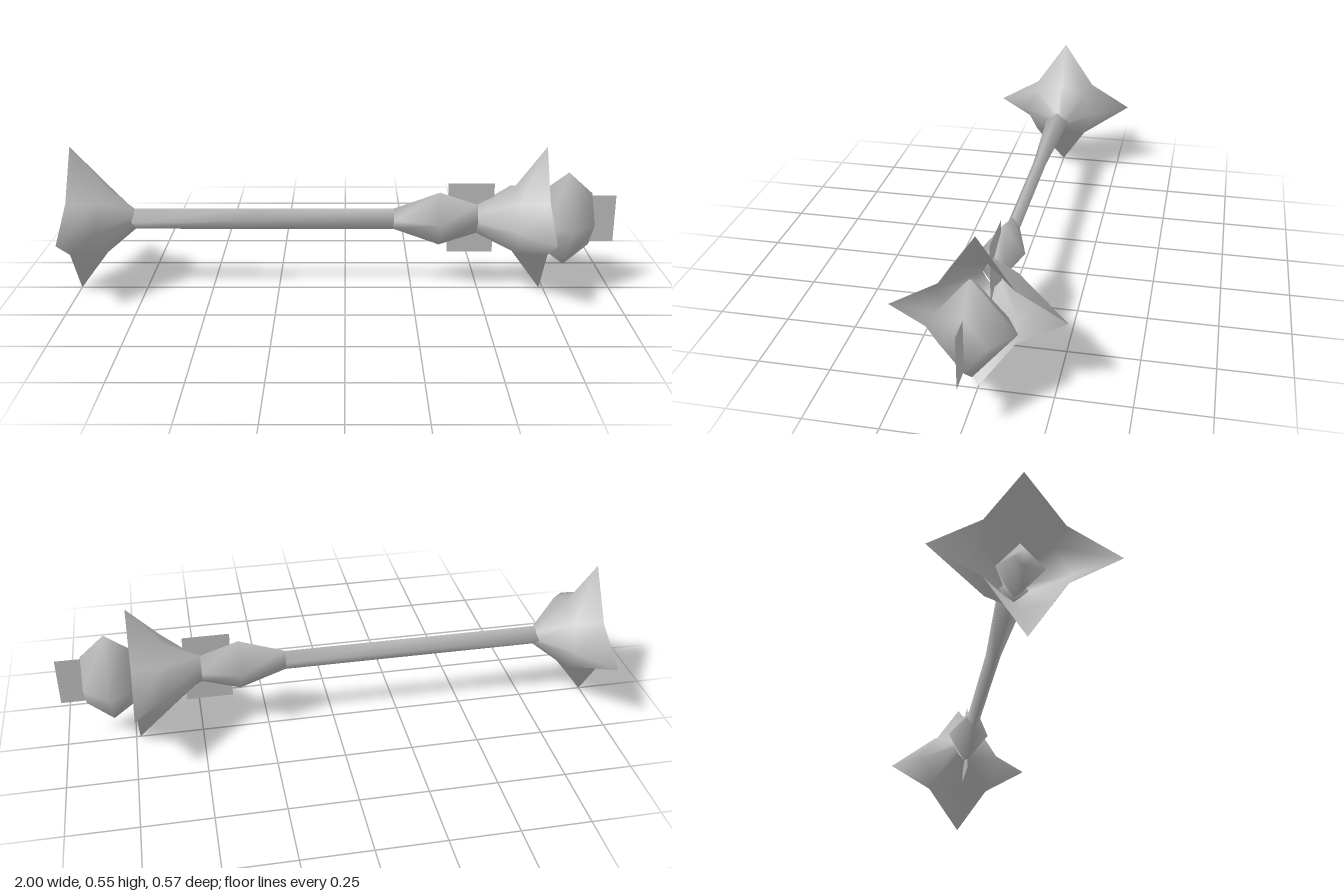
import * as THREE from 'three';

const AXIS_Y = 0.278;

// Ring with four points (top, +z, bottom, -z)
const diamond = (x, ry, rz) => ({ x, pts: [[ry, 0], [0, rz], [-ry, 0], [0, -rz]] });

// Ring with four tips and four diagonal points in between
const star = (x, ry, rz, dy, dz) => ({
  x,
  pts: [[ry, 0], [dy, dz], [0, rz], [-dy, dz], [-ry, 0], [-dy, -dz], [0, -rz], [dy, -dz]],
});

// Smooth skin through rings ordered by rising x; the ends can be capped
function loft(rings, capStart = false, capEnd = false) {
  const n = rings[0].pts.length;
  const pos = [];
  const idx = [];
  for (const r of rings) for (const [y, z] of r.pts) pos.push(r.x, y + AXIS_Y, z);
  for (let i = 0; i < rings.length - 1; i++) {
    for (let j = 0; j < n; j++) {
      const a = i * n + j;
      const b = i * n + ((j + 1) % n);
      idx.push(a, b, a + n, b, b + n, a + n);
    }
  }
  const last = (rings.length - 1) * n;
  for (let j = 1; j < n - 1; j++) {
    if (capStart) idx.push(0, j + 1, j);
    if (capEnd) idx.push(last, last + j, last + j + 1);
  }
  const g = new THREE.BufferGeometry();
  g.setAttribute('position', new THREE.Float32BufferAttribute(pos, 3));
  g.setIndex(idx);
  g.computeVertexNormals();
  return g;
}

export function createModel() {
  const group = new THREE.Group();
  const metal = new THREE.MeshStandardMaterial({ color: 0xb8b8b8, side: THREE.DoubleSide });
  metal.name = 'grey metal';

  const add = (name, geometry) => {
    const mesh = new THREE.Mesh(geometry, metal);
    mesh.name = name;
    group.add(mesh);
    return mesh;
  };

  // Long shaft, wider at the pommel, swelling into the grip bulge
  add('shaft', loft([
    diamond(-0.785, 0.04, 0.048),
    diamond(-0.35, 0.04, 0.026),
    diamond(0.18, 0.04, 0.025),
  ], true));
  add('bulge', loft([
    diamond(0.18, 0.04, 0.025),
    diamond(0.35, 0.102, 0.078),
    diamond(0.49, 0.055, 0.036),
  ]));

  // Open star-shaped cups at both ends
  add('pommelCup', loft([
    star(-1, 0.277, 0.287, 0.097, 0.122),
    star(-0.89, 0.133, 0.155, 0.092, 0.105),
    star(-0.78, 0.04, 0.04, 0.022, 0.022),
  ]));
  add('headCup', loft([
    star(0.49, 0.056, 0.038, 0.03, 0.022),
    star(0.625, 0.128, 0.168, 0.094, 0.11),
    star(0.735, 0.277, 0.287, 0.097, 0.122),
  ]));

  // Stud inside the pommel cup
  add('pommelStud', loft([
    diamond(-0.97, 0.03, 0.03),
    diamond(-0.91, 0.085, 0.075),
    diamond(-0.79, 0.03, 0.03),
  ], true));

  // Faceted head gem set in the front cup
  add('headGem', loft([
    diamond(0.735, 0.115, 0.1),
    diamond(0.82, 0.18, 0.147),
    diamond(0.91, 0.1, 0.075),
  ], true, true));

  // Flat fins lying in the middle plane
  const fin = (name, x0, x1, y0, y1) => {
    const mesh = add(name, new THREE.PlaneGeometry(x1 - x0, y1 - y0));
    mesh.position.set((x0 + x1) / 2, (y0 + y1) / 2, 0);
  };
  fin('neckFin', 0.38, 0.55, 0.148, 0.415);
  fin('tipFin', 0.9, 1, 0.19, 0.37);

  return group;
}
